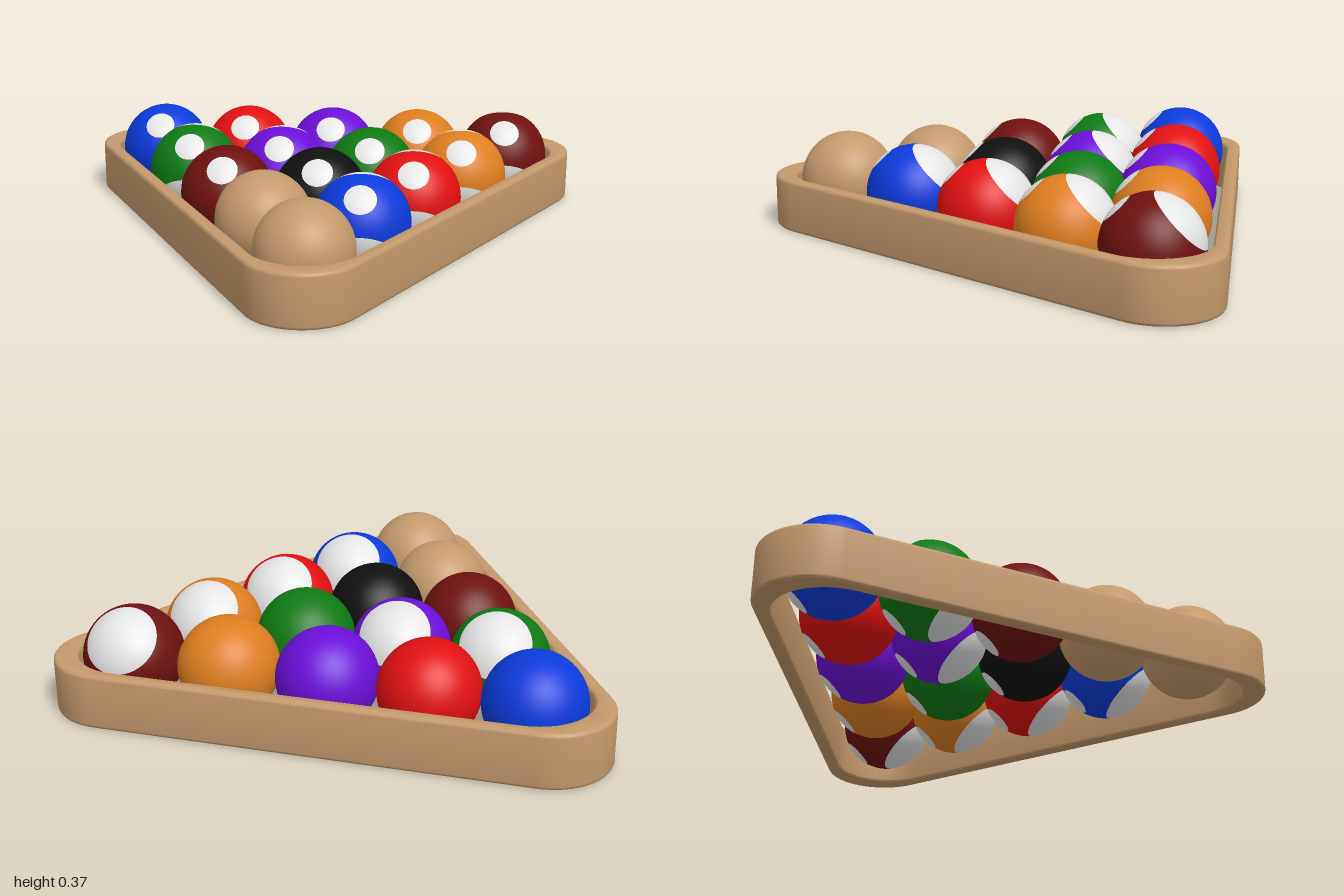
import * as THREE from 'three';
import { toCreasedNormals } from 'three/addons/utils/BufferGeometryUtils.js';

const R = 0.181;          // ball radius
const HEIGHT = 0.203;     // rack height
const CENTRE_Z = -0.227;  // triangle centroid

const colours = {
  wood: 0xc49a6c, white: 0xe4e4e4, blue: 0x0b3bdb, red: 0xe21010, purple: 0x6c0fd8,
  orange: 0xdf7e20, maroon: 0x701010, green: 0x0f7a13, black: 0x101010,
};
const mats = {};

function mesh(name, geometry, material) {
  const m = new THREE.Mesh(geometry, material);
  m.name = name;
  return m;
}

// Rounded triangle pointing to -y in shape space (+z once laid flat)
function roundedTriangle(Type, inradius, corner) {
  const path = new Type();
  const d = 2 * (inradius - corner);
  for (let i = 0; i < 3; i++) {
    const a = -Math.PI / 2 + i * Math.PI * 2 / 3;
    path.absarc(Math.cos(a) * d, Math.sin(a) * d, corner, a - Math.PI / 3, a + Math.PI / 3, false);
  }
  path.closePath();
  return path;
}

// Open wooden frame with softened edges
function makeRack() {
  const bevel = 0.014;
  const shape = roundedTriangle(THREE.Shape, 0.671, 0.222);
  shape.holes.push(roundedTriangle(THREE.Path, 0.618, 0.205));
  const geo = new THREE.ExtrudeGeometry(shape, {
    depth: HEIGHT - 2 * bevel, curveSegments: 20,
    bevelEnabled: true, bevelThickness: bevel, bevelSize: bevel, bevelOffset: -bevel, bevelSegments: 4,
  });
  geo.translate(0, 0, bevel);
  geo.rotateX(-Math.PI / 2);
  geo.translate(0, 0, CENTRE_Z);
  return mesh('rack', toCreasedNormals(geo, 0.6), mats.wood);
}

// Slice of a sphere between two polar angles in degrees
function zone(radius, from, to) {
  const rad = THREE.MathUtils.degToRad;
  return new THREE.SphereGeometry(radius, 48, Math.max(6, Math.round((to - from) / 6)), 0, Math.PI * 2, rad(from), rad(to - from));
}

function makeGeometries() {
  return {
    full: zone(R, 0, 180),
    band: zone(R, 45, 135),
    capTop: zone(R, 0, 45),
    capBottom: zone(R, 135, 180),
    spotFront: zone(R * 1.005, 0, 19).rotateX(Math.PI / 2),
    spotBack: zone(R * 1.005, 0, 19).rotateX(-Math.PI / 2),
  };
}

function makeBall(colour, striped, geos) {
  const ball = new THREE.Group();
  ball.name = colour + (striped ? 'StripedBall' : 'Ball');
  if (striped) {
    ball.add(
      mesh('stripe', geos.band, mats[colour]),
      mesh('upperCap', geos.capTop, mats.white),
      mesh('lowerCap', geos.capBottom, mats.white),
    );
  } else {
    ball.add(mesh('body', geos.full, mats[colour]));
  }
  if (colour !== 'wood') {
    ball.add(mesh('frontSpot', geos.spotFront, mats.white), mesh('backSpot', geos.spotBack, mats.white));
  }
  ball.rotation.x = -Math.PI / 4;
  return ball;
}

export function createModel() {
  for (const [name, color] of Object.entries(colours)) {
    mats[name] = new THREE.MeshStandardMaterial({ color });
    mats[name].name = name;
  }
  const model = new THREE.Group();
  model.name = 'rackedBalls';
  model.add(makeRack());

  // Rows from back to front; * marks a striped ball
  const rows = [
    ['blue', 'red', 'purple', 'orange', 'maroon*'],
    ['green*', 'purple*', 'green', 'orange*'],
    ['maroon', 'black', 'red*'],
    ['wood', 'blue*'],
    ['wood'],
  ];
  const geos = makeGeometries();
  rows.forEach((row, r) => row.forEach((spec, i) => {
    const ball = makeBall(spec.replace('*', ''), spec.endsWith('*'), geos);
    ball.position.set((i - (row.length - 1) / 2) * 2 * R, 0.184, -0.647 + r * R * Math.sqrt(3));
    model.add(ball);
  }));
  return model;
}
